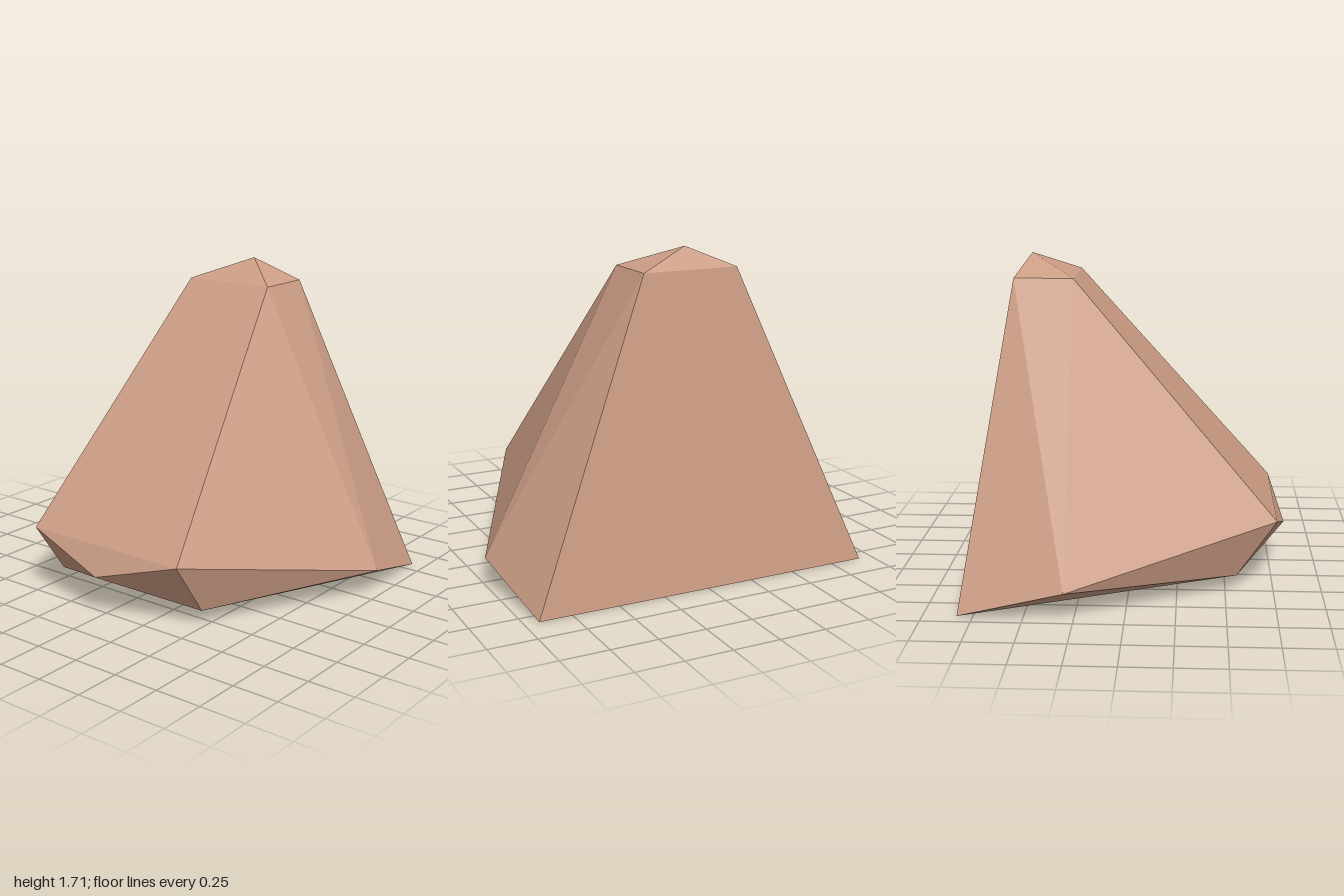
import * as THREE from 'three';

const skin = new THREE.MeshStandardMaterial({ color: 0xcc9d85, flatShading: true });
skin.name = 'skin';

// Key points on the model's left half; a leading '-' mirrors a point to the right half
const points = {
  crown: [0, 1.705, -0.54],
  topFront: [0.26, 1.595, -0.3],
  topBack: [0.26, 1.595, -0.61],
  brim: [0.48, 0.37, 0.765],
  tip: [0, 0.225, 0.83],
  lip: [0.48, 0.077, 0.56],
  wing: [1, 0.15, -0.295],
  heel: [0.925, 0, -0.83],
  base: [0, 0, -0.61],
};
const centre = new THREE.Vector3(0, 0.5, -0.2);

function point(name) {
  const mirrored = name.startsWith('-');
  const [x, y, z] = points[mirrored ? name.slice(1) : name];
  return new THREE.Vector3(mirrored ? -x : x, y, z);
}

function flip(name) {
  return name.startsWith('-') ? name.slice(1) : '-' + name;
}

// Flat facets from point names, each turned to face away from the centre
function facets(name, faces, mirror = false) {
  const all = mirror ? [...faces, ...faces.map((f) => f.map(flip))] : faces;
  const corners = [];
  for (const face of all) {
    const p = face.map(point);
    for (let i = 1; i < p.length - 1; i++) {
      const tri = new THREE.Triangle(p[0], p[i], p[i + 1]);
      const normal = tri.getNormal(new THREE.Vector3());
      const outward = normal.dot(p[0].clone().sub(centre)) > 0;
      corners.push(...(outward ? [tri.a, tri.b, tri.c] : [tri.a, tri.c, tri.b]));
    }
  }
  const geometry = new THREE.BufferGeometry().setFromPoints(corners);
  geometry.computeVertexNormals();
  const mesh = new THREE.Mesh(geometry, skin);
  mesh.name = name;
  return mesh;
}

export function createModel() {
  const group = new THREE.Group();
  group.name = 'nose';

  // Sloping front, and the flat back
  group.add(facets('bridge', [['topFront', '-topFront', '-brim', 'brim']]));
  group.add(facets('back', [['topBack', '-topBack', '-heel', 'heel']]));

  // Low pyramid on top
  group.add(facets('crown', [
    ['crown', 'topFront', '-topFront'],
    ['crown', 'topBack', '-topBack'],
  ]));
  group.add(facets('crownSides', [['crown', 'topFront', 'topBack']], true));

  // Flanks from the bridge out to the wings and back
  group.add(facets('flanks', [
    ['topFront', 'brim', 'wing'],
    ['topFront', 'wing', 'topBack'],
    ['topBack', 'wing', 'heel'],
  ], true));

  // Pointed tip
  group.add(facets('tip', [['brim', '-brim', 'tip'], ['tip', 'lip', '-lip']]));
  group.add(facets('tipSides', [['tip', 'brim', 'lip']], true));

  // Wing undersides and the shallow base
  group.add(facets('wings', [['brim', 'lip', 'wing'], ['lip', 'wing', 'heel']], true));
  group.add(facets('base', [['base', 'lip', '-lip'], ['base', 'heel', '-heel']]));
  group.add(facets('baseSides', [['base', 'lip', 'heel']], true));

  // Diamond nostril plates just under the base, facing down
  for (const side of [1, -1]) {
    const nostril = new THREE.Mesh(new THREE.CircleGeometry(0.13, 4), skin);
    nostril.name = side > 0 ? 'leftNostril' : 'rightNostril';
    nostril.rotation.x = Math.PI / 2 - 0.06;
    nostril.position.set(side * 0.355, 0.036, 0.245);
    group.add(nostril);
  }
  return group;
}
